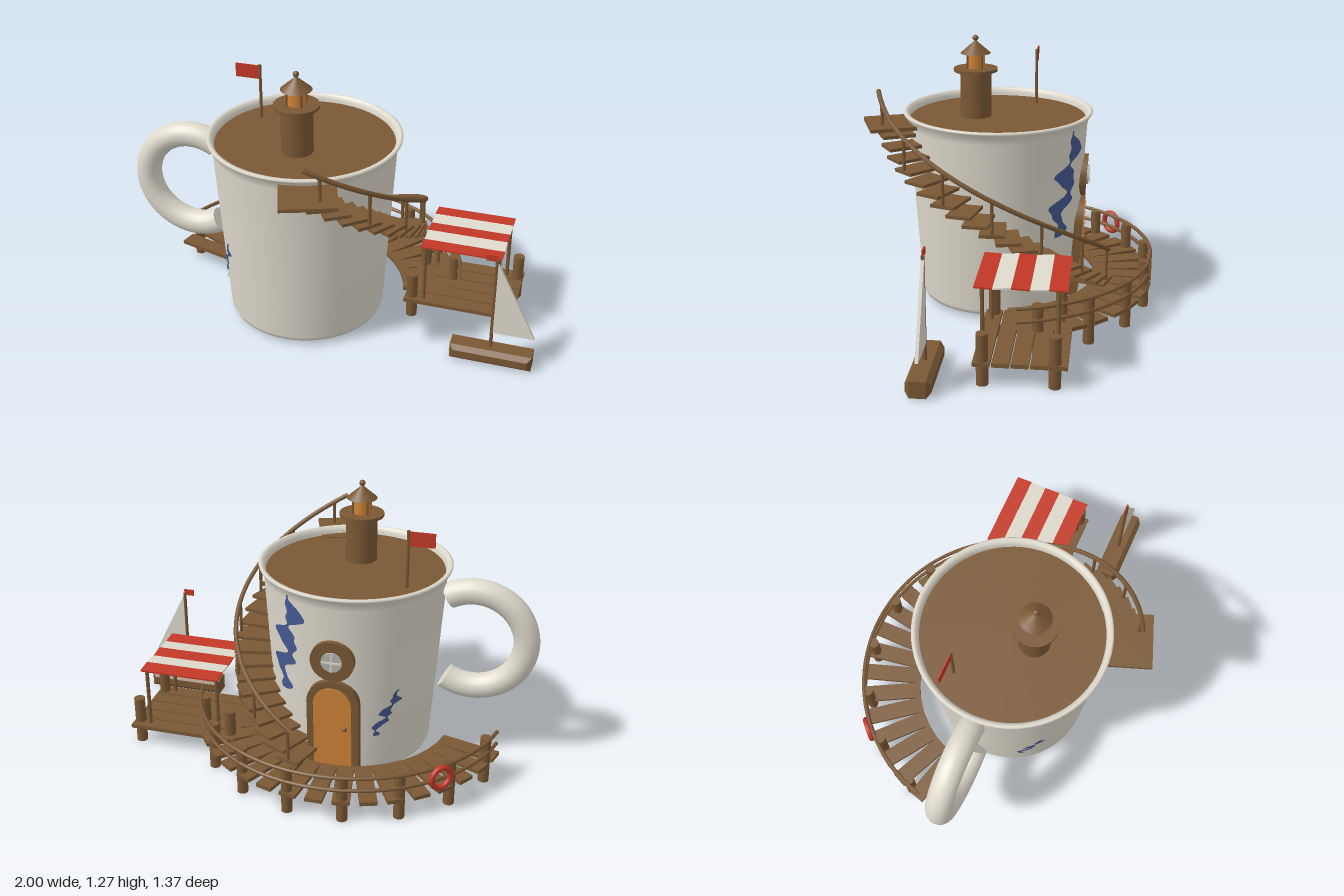
import * as THREE from 'three';

const mat = (name, color, extra = {}) => Object.assign(new THREE.MeshStandardMaterial({ color, ...extra }), { name });

export function createModel() {
  const cream = mat('cream', 0xded9cc);
  const wood = mat('wood', 0x7a5835);
  const amber = mat('amber', 0xd08336);
  const red = mat('red', 0xc23826);
  const blue = mat('blue', 0x465a92, { side: THREE.DoubleSide });
  const glass = mat('glass', 0xb4b4b0);

  const model = new THREE.Group();
  const mug = new THREE.Group(); // everything arranged around the cup axis
  mug.name = 'mugGroup';
  mug.position.set(-0.137, 0, 0.06);
  model.add(mug);

  const rad = THREE.MathUtils.degToRad;
  const add = (parent, name, geo, material, x = 0, y = 0, z = 0) => {
    const m = new THREE.Mesh(geo, material);
    m.name = name;
    m.position.set(x, y, z);
    parent.add(m);
    return m;
  };
  // Polar placement: angle in degrees from +z towards +x
  const polar = (name, geo, material, r, deg, y) => {
    const a = rad(deg);
    const m = add(mug, name, geo, material, r * Math.sin(a), y, r * Math.cos(a));
    m.rotation.y = a;
    return m;
  };
  const box = (w, h, d) => new THREE.BoxGeometry(w, h, d);
  const cyl = (r, h, n = 16, r2 = r) => new THREE.CylinderGeometry(r, r2, h, n);
  const arcTube = (r, a0, a1, y0, y1, t) => {
    const pts = [];
    for (let i = 0; i <= 24; i++) {
      const k = i / 24, a = rad(a0 + (a1 - a0) * k);
      pts.push(new THREE.Vector3(r * Math.sin(a), y0 + (y1 - y0) * k, r * Math.cos(a)));
    }
    return new THREE.TubeGeometry(new THREE.CatmullRomCurve3(pts), 72, t, 8);
  };
  const wallR = y => 0.37 + 0.062 * (y - 0.03);

  // Cup
  const profile = [[0, 0.008], [0.325, 0.008], [0.335, 0.01], [0.36, 0.022], [0.37, 0.045], [wallR(0.45), 0.45],
    [wallR(0.86), 0.86], [0.43, 0.892], [0.444, 0.91], [0.446, 0.918], [0.438, 0.923], [0.424, 0.92], [0.415, 0.9], [0.412, 0.86]];
  add(mug, 'cup', new THREE.LatheGeometry(profile.map(p => new THREE.Vector2(...p)), 72), cream);
  add(mug, 'coffee', cyl(0.413, 0.02, 64), wood, 0, 0.876, 0);
  const handle = add(mug, 'handle', new THREE.TorusGeometry(0.24, 0.06, 20, 48, rad(242)), cream, -0.563, 0.59, 0);
  handle.rotation.z = rad(59);
  for (const s of [1, -1]) { // flat ends of the handle
    const a = rad(59 * s);
    const cap = add(mug, 'handleEnd', cyl(0.06, 0.004, 20), cream, -0.563 + 0.24 * Math.cos(a), 0.59 + 0.24 * Math.sin(a), 0);
    cap.rotation.z = a;
  }

  // Painted blue patches following the wall
  const patch = (deg, y0, y1, lean, width, seed) => {
    const pos = [], idx = [], rows = 48, cols = 6;
    for (let j = 0; j <= rows; j++) {
      const t = j / rows, y = y0 + (y1 - y0) * t, r = wallR(y) + 0.004;
      const taper = Math.pow(Math.sin(Math.PI * (0.04 + 0.92 * t)), 0.5);
      const half = width * taper * (0.55 + 0.3 * Math.sin(t * 24 + seed) + 0.15 * Math.sin(t * 43));
      const mid = lean * (t - 0.5) + 0.35 * width * Math.sin(t * 17 + seed);
      for (let i = 0; i <= cols; i++) {
        const a = rad(deg) + (mid + half * (2 * i / cols - 1)) / r;
        pos.push(r * Math.sin(a), y, r * Math.cos(a));
        if (i < cols && j < rows) {
          const p = j * (cols + 1) + i, q = p + cols + 1;
          idx.push(p, p + 1, q, p + 1, q + 1, q);
        }
      }
    }
    const g = new THREE.BufferGeometry();
    g.setAttribute('position', new THREE.Float32BufferAttribute(pos, 3));
    g.setIndex(idx);
    g.computeVertexNormals();
    add(mug, 'bluePatch', g, blue);
  };
  patch(146, 0.38, 0.88, 0.11, 0.085, 0.5);
  patch(216, 0.21, 0.44, 0.12, 0.038, 1.5);
  patch(307, 0.2, 0.44, 0.12, 0.038, 1.5);

  // Door and round window on the back wall
  const arch = (w, y0, top) => {
    const s = new THREE.Shape();
    s.moveTo(-w, y0);
    s.lineTo(w, y0);
    s.lineTo(w, top - w);
    s.absarc(0, top - w, w, 0, Math.PI, false);
    s.lineTo(-w, y0);
    return s;
  };
  const door = new THREE.Group();
  door.name = 'door';
  door.rotation.set(0, Math.PI, 0);
  mug.add(door);
  const slab = (name, shape, material, out) => {
    const g = new THREE.ExtrudeGeometry(shape, { depth: 0.04 + out, bevelEnabled: false, curveSegments: 20 });
    add(door, name, g.translate(0, 0, -0.04), material, 0, 0, 0.369).rotation.x = 0.062;
  };
  slab('doorFrame', arch(0.12, 0.03, 0.51), wood, 0.02);
  slab('doorLeaf', arch(0.088, 0.05, 0.475), amber, 0.026);
  add(door, 'doorKnob', new THREE.SphereGeometry(0.011, 12, 8), wood, 0.06, 0.27, 0.418);
  const disc = (name, r, h, material, z) => {
    add(door, name, cyl(r, h, 28), material, 0, 0.61, z).rotation.x = Math.PI / 2 + 0.062;
  };
  disc('windowFrame', 0.1, 0.05, wood, 0.4);
  disc('windowGlass', 0.048, 0.02, glass, 0.424);
  for (const a of [0, Math.PI / 2]) add(door, 'windowBar', box(0.09, 0.008, 0.006), cream, 0, 0.61, 0.436).rotation.z = a;

  // Lighthouse standing in the coffee
  const house = new THREE.Group();
  house.name = 'lighthouse';
  house.position.z = 0.105;
  mug.add(house);
  add(house, 'tower', cyl(0.073, 0.23, 32), wood, 0, 0.99, 0);
  add(house, 'gallery', cyl(0.103, 0.014, 32), wood, 0, 1.108, 0);
  add(house, 'lantern', cyl(0.043, 0.075, 24), amber, 0, 1.15, 0);
  for (let i = 0; i < 4; i++) {
    const a = Math.PI / 4 + i * Math.PI / 2;
    add(house, 'lanternPost', cyl(0.005, 0.075, 8), wood, 0.048 * Math.sin(a), 1.15, 0.048 * Math.cos(a));
  }
  add(house, 'roof', new THREE.ConeGeometry(0.071, 0.062, 32), wood, 0, 1.216, 0);
  add(house, 'finial', new THREE.SphereGeometry(0.014, 16, 12), wood, 0, 1.256, 0);

  // Flag on the cup
  add(model, 'flagPole', cyl(0.007, 0.28, 10), wood, -0.408, 1.015, -0.1);
  add(model, 'flag', box(0.115, 0.066, 0.006), red, -0.47, 1.117, -0.1);

  // Spiral stair with handrail
  polar('landing', box(0.25, 0.016, 0.26), wood, 0.49, 20, 0.882);
  for (let i = 0; i < 19; i++) {
    const a = 25 + 7.6 * i, y = 0.842 - 0.0392 * i;
    polar('stairTread', box(0.115, 0.015, 0.18), wood, 0.478, a, y);
    if (i % 3 === 0) polar('stairPost', cyl(0.008, 0.155, 8), wood, 0.558, a, y + 0.08);
  }
  mug.add(Object.assign(new THREE.Mesh(arcTube(0.56, 18, 164, 1.035, 0.29, 0.011), wood), { name: 'stairRail' }));

  // Curved boardwalk behind the cup
  for (let i = 0; i < 17; i++) polar('boardwalkPlank', box(0.078, 0.018, 0.28), wood, 0.608, 180 - 74 + 9.3 * i, 0.099);
  for (let i = 0; i < 8; i++) polar('boardwalkPost', cyl(0.025, 0.23, 14), wood, 0.72, 110 + 20 * i, 0.115);
  for (const y of [0.163, 0.225]) add(mug, 'boardwalkRail', arcTube(0.74, 102, 256, y, y, 0.009), wood);
  polar('lifebuoy', new THREE.TorusGeometry(0.049, 0.013, 12, 28), red, 0.756, 224, 0.18);

  // Pier with striped awning
  for (let i = 0; i < 5; i++) {
    const z = -0.297 + 0.08 * i;
    add(model, 'pierPlank', box(0.52, 0.018, 0.073), wood, 0.607, 0.099, z);
    const stripe = add(model, 'awningStripe', box(0.38, 0.007, 0.078), i % 2 ? cream : red, 0.61, 0.41, -0.288 + 0.077 * i);
    stripe.rotation.x = i % 2 ? 0.06 : -0.06;
  }
  for (const x of [0.38, 0.84]) for (const z of [-0.28, 0.02]) add(model, 'pierPost', cyl(0.026, 0.23, 14), wood, x, 0.115, z);
  for (const x of [0.437, 0.785]) for (const z of [-0.29, 0.025]) add(model, 'awningPost', cyl(0.009, 0.31, 10), wood, x, 0.255, z);

  // Sailing boat
  const boat = new THREE.Group();
  boat.name = 'boat';
  boat.position.set(0.8125, 0, 0.262);
  model.add(boat);
  const poly = pts => new THREE.Shape(pts.map(p => new THREE.Vector2(...p)));
  const hull = new THREE.ExtrudeGeometry(poly([[-0.167, 0.025], [0.167, 0.025], [0.167, 0.06], [-0.167, 0.06]]),
    { depth: 0.07, bevelSize: 0.02, bevelThickness: 0.02, bevelSegments: 1 });
  add(boat, 'hull', hull.translate(0, 0, -0.035), wood);
  add(boat, 'mast', cyl(0.008, 0.47, 10), wood, -0.006, 0.31, 0);
  const sail = new THREE.ExtrudeGeometry(poly([[0, 0.16], [0.187, 0.16], [0, 0.53]]), { depth: 0.014, bevelEnabled: false });
  add(boat, 'sail', sail.translate(0, 0, -0.007), cream);
  add(boat, 'pennant', box(0.05, 0.03, 0.006), red, -0.03, 0.552, 0);

  return model;
}
